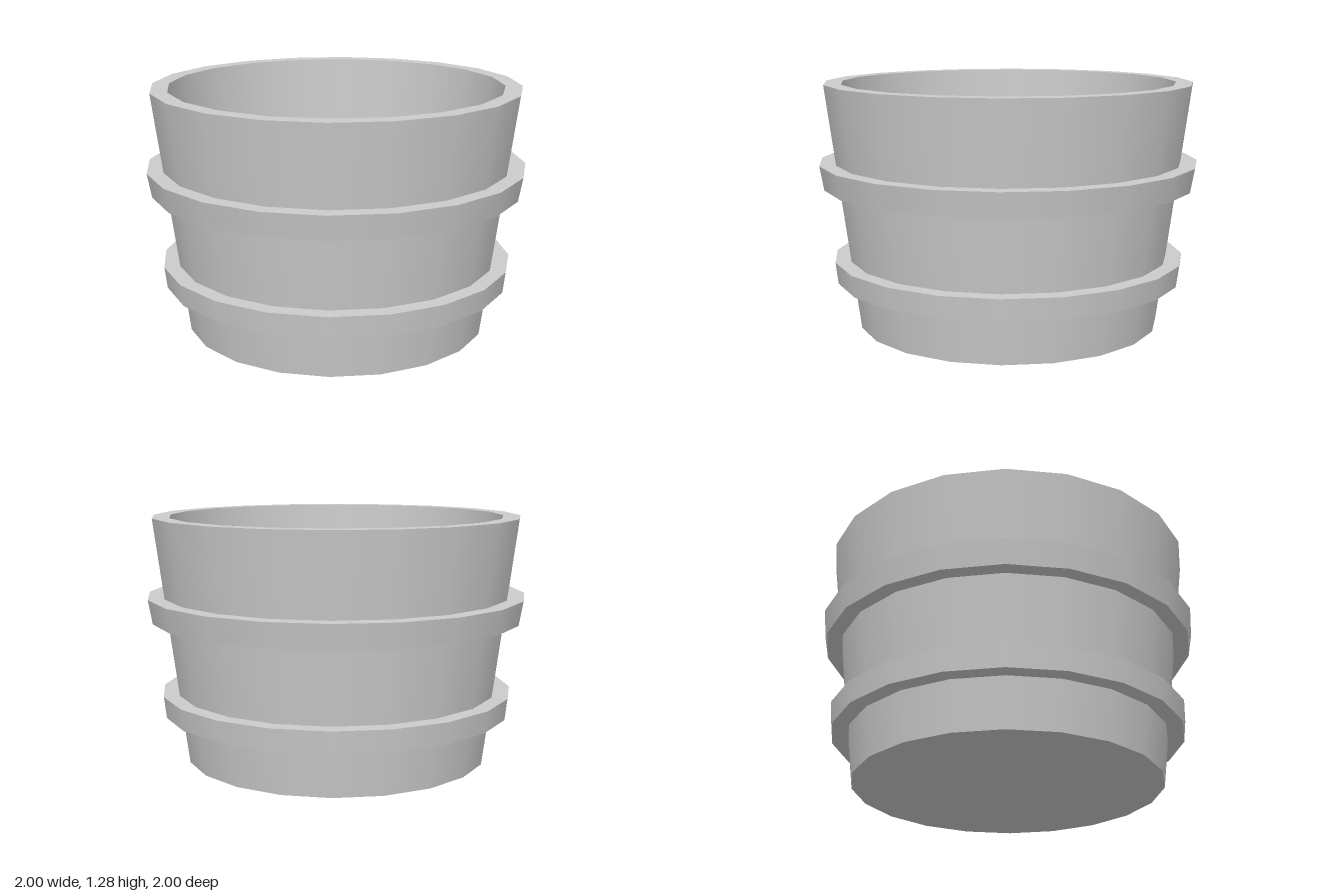
import * as THREE from 'three';
import { mergeGeometries } from 'three/addons/utils/BufferGeometryUtils.js';

const SIDES = 20;
const HEIGHT = 1.285, BASE_R = 0.803, RIM_R = 0.967;
const material = new THREE.MeshStandardMaterial({ color: 0xcccccc });

// Radius of the tapered outer wall at height y
const wallRadius = (y) => BASE_R + (RIM_R - BASE_R) * (y / HEIGHT);

// Revolve each profile segment on its own: smooth around, sharp at the corners
function revolve(name, profile) {
  const bands = [];
  for (let i = 0; i < profile.length - 1; i++) {
    const pair = [profile[i], profile[i + 1]].map(([r, y]) => new THREE.Vector2(r, y));
    bands.push(new THREE.LatheGeometry(pair, SIDES));
  }
  const mesh = new THREE.Mesh(mergeGeometries(bands), material);
  mesh.name = name;
  return mesh;
}

// Flat-topped hoop that follows the taper of the wall
function hoop(name, y0, y1, r0, r1) {
  return revolve(name, [[wallRadius(y0), y0], [r0, y0], [r1, y1], [wallRadius(y1), y1]]);
}

export function createModel() {
  const group = new THREE.Group();
  group.name = 'tub';

  // Hollow tub: underside, outer wall, rim, inner wall, floor
  group.add(revolve('tubBody', [
    [0, 0], [BASE_R, 0], [RIM_R, HEIGHT], [0.878, HEIGHT], [0.815, 0.25], [0, 0.25],
  ]));

  // Two raised hoops
  group.add(hoop('lowerHoop', 0.25, 0.363, 0.92, 0.933));
  group.add(hoop('upperHoop', 0.747, 0.873, 0.978, 1.0));

  return group;
}
